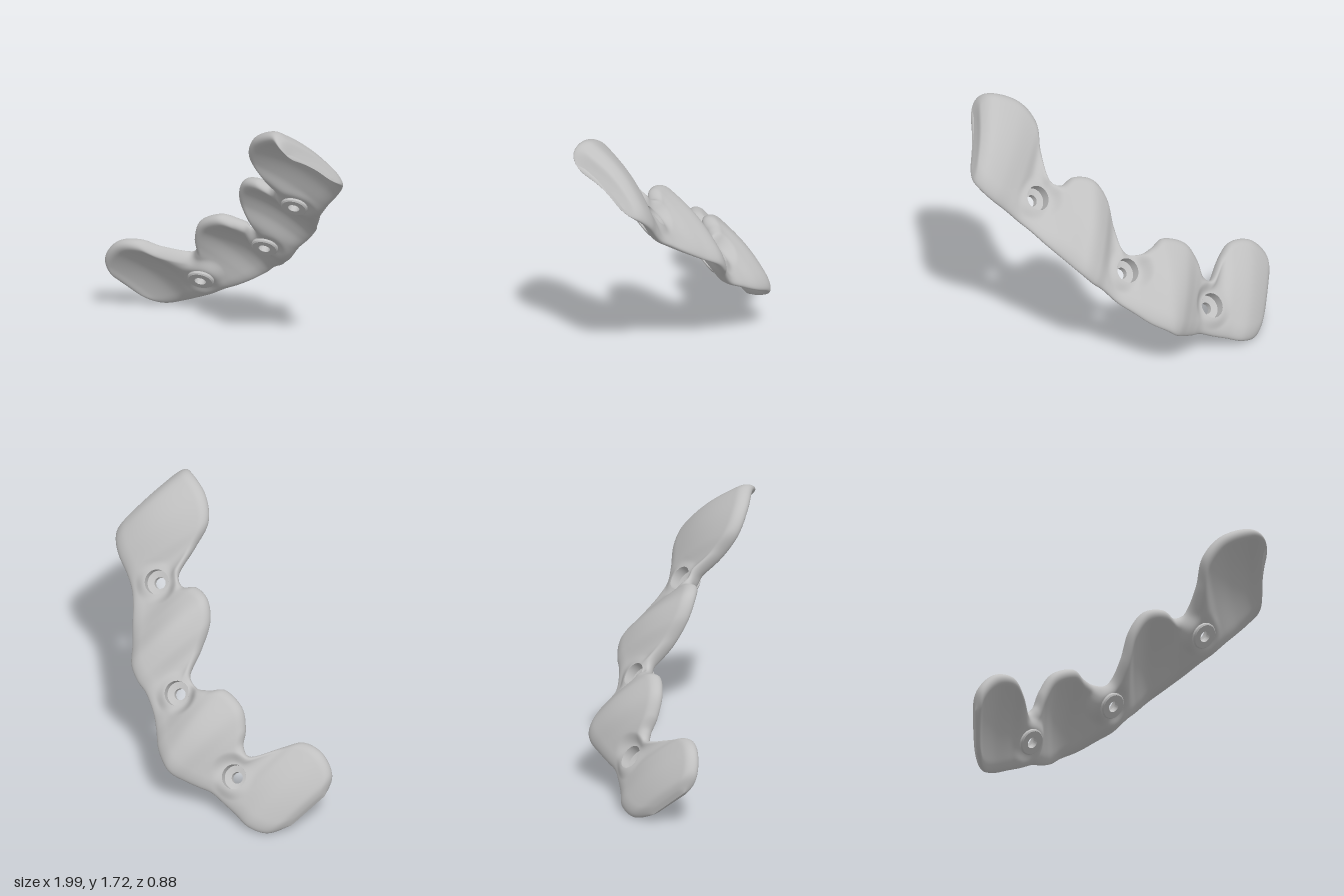
import * as THREE from 'three';
import { toCreasedNormals } from 'three/addons/utils/BufferGeometryUtils.js';

const V = (x, y, z) => new THREE.Vector3(x, y, z);
const spline = pts => new THREE.CatmullRomCurve3(pts.map(p => V(...p)), false, 'catmullrom', 0.5);

// Scalloped upper edge and wavy lower edge, matched station by station
const upperEdge = spline([
  [-0.99, 0.25, 0.33], [-0.97, 0.38, 0.395], [-0.87, 0.495, 0.385], [-0.74, 0.525, 0.325], [-0.66, 0.48, 0.22],
  [-0.58, 0.43, 0.02], [-0.51, 0.48, 0.00], [-0.475, 0.58, 0.04], [-0.40, 0.70, 0.06], [-0.26, 0.765, 0.025],
  [-0.18, 0.745, -0.05], [-0.09, 0.73, -0.10], [0.02, 0.76, -0.08], [0.075, 0.88, 0.04], [0.11, 1.04, 0.13],
  [0.19, 1.16, 0.165], [0.31, 1.195, 0.155], [0.40, 1.17, 0.10], [0.48, 1.22, 0.12], [0.52, 1.35, 0.27],
  [0.535, 1.50, 0.38], [0.64, 1.635, 0.425], [0.81, 1.71, 0.425], [0.91, 1.675, 0.425], [0.945, 1.57, 0.34]]);
const lowerEdge = spline([
  [-0.93, 0.06, 0.11], [-0.865, 0.01, -0.03], [-0.77, 0.035, -0.12], [-0.66, 0.08, -0.15], [-0.57, 0.12, -0.18],
  [-0.48, 0.17, -0.22], [-0.42, 0.20, -0.28], [-0.36, 0.24, -0.35], [-0.30, 0.29, -0.42], [-0.24, 0.34, -0.44],
  [-0.13, 0.39, -0.415], [-0.02, 0.45, -0.36], [0.08, 0.51, -0.32], [0.17, 0.61, -0.32], [0.24, 0.68, -0.345],
  [0.32, 0.76, -0.34], [0.42, 0.83, -0.27], [0.53, 0.91, -0.20], [0.62, 0.98, -0.14], [0.70, 1.04, -0.10],
  [0.78, 1.12, -0.09], [0.87, 1.21, -0.095], [0.94, 1.28, -0.075], [0.985, 1.33, -0.03], [0.99, 1.38, 0.05]]);
// How far the middle of each section bows outward
const bow = spline([0, 0.02, 0.035, 0.04, 0.02, -0.01, 0, 0.015, 0.035, 0.04, 0.015, -0.015, -0.02, 0, 0.03,
  0.04, 0.02, -0.015, -0.03, -0.01, 0.025, 0.045, 0.05, 0.04, 0.02].map(b => [b, 0, 0]));

const AXIS = V(-0.46, 0.63, -0.63).normalize(); // outward direction of the plate and screw holes
const HOLES = [V(-0.55, 0.285, -0.08), V(0.015, 0.645, -0.168), V(0.58, 1.12, 0.03)];
const HOLE_R = 0.082, HALF = 0.045;
const STATIONS = 24, ROWS = 216, SIDE = 44;

// Fits the plate to each screw hole: flattens around it and snaps points out to its rim
function fitToHole(p, side) {
  for (const c of HOLES) {
    const rel = p.clone().sub(c);
    const h = rel.dot(AXIS);
    const flat = rel.addScaledVector(AXIS, -h);
    const d = flat.length();
    if (d > HOLE_R * 1.9 || Math.abs(h) > 0.2) continue;
    const w = 1 - THREE.MathUtils.smoothstep(d, HOLE_R, HOLE_R * 1.9);
    const inside = d < HOLE_R;
    if (inside) flat.setLength(HOLE_R);
    p.copy(c).add(flat).addScaledVector(AXIS, THREE.MathUtils.lerp(h, side * HALF, w));
    return inside;
  }
  return false;
}

function plateGeometry() {
  const pos = [], index = [], cut = [], loop = SIDE * 2;
  for (let i = 0; i <= ROWS; i++) {
    const t = i / ROWS;
    const B = lowerEdge.getPoint(t), a = upperEdge.getPoint(t).sub(B);
    const len = a.length(), dir = a.clone().normalize();
    const n = AXIS.clone().addScaledVector(dir, -AXIS.dot(dir)).normalize();
    const b = bow.getPoint(t).x;
    // rounded thinning at the two ends
    const e = 1 - Math.min(1, Math.min(t, 1 - t) * STATIONS / 0.8);
    const endFade = Math.sqrt(Math.max(0, 1 - e * e));
    for (let j = 0; j < loop; j++) {
      const th = j / loop * Math.PI * 2;
      const v = 0.5 - 0.5 * Math.cos(th);
      // soft rounded rim above, thinner edge below
      const k = 1 - Math.min(1, v * len / 0.10, (1 - v) * len / 0.06);
      const round = Math.sqrt(Math.max(0, 1 - k * k));
      const side = (j === 0 || j === SIDE ? 0 : Math.sign(Math.sin(th))) * round * endFade;
      const half = HALF * (0.85 + 0.25 * v);
      const p = B.clone().addScaledVector(a, v).addScaledVector(n, b * Math.sin(Math.PI * v) + side * half);
      cut.push(fitToHole(p, side));
      pos.push(p.x, p.y, p.z);
    }
  }
  const tri = (a, b, c) => { if (!(cut[a] && cut[b] && cut[c])) index.push(a, b, c); };
  for (let i = 0; i < ROWS; i++) for (let j = 0; j < loop; j++) {
    const j2 = (j + 1) % loop;
    const a = i * loop + j, b = i * loop + j2, c = a + loop, d = b + loop;
    tri(a, c, b);
    tri(b, c, d);
  }
  const g = new THREE.BufferGeometry();
  g.setAttribute('position', new THREE.Float32BufferAttribute(pos, 3));
  g.setIndex(index);
  g.computeVertexNormals();
  return g;
}

// Countersunk sleeve: recess wall, ledge, narrow bore and low boss beneath
function sleeveGeometry() {
  const profile = [[HOLE_R, HALF], [HOLE_R, -0.02], [0.038, -0.03], [0.038, -0.068],
    [0.08, -0.068], [0.088, -0.06], [0.088, -0.03]].map(p => new THREE.Vector2(...p)).reverse();
  return toCreasedNormals(new THREE.LatheGeometry(profile, 40), 0.6);
}

export function createModel() {
  const model = new THREE.Group();
  model.name = 'scallopedPlate';
  const grey = new THREE.MeshStandardMaterial({ color: 0xc0c0c0, side: THREE.DoubleSide });
  grey.name = 'light grey';

  const body = new THREE.Group();
  body.name = 'plateAssembly';
  const plate = new THREE.Mesh(plateGeometry(), grey);
  plate.name = 'plate';
  body.add(plate);

  const sleeve = sleeveGeometry();
  HOLES.forEach((c, i) => {
    const m = new THREE.Mesh(sleeve, grey);
    m.name = 'screwHole' + (i + 1);
    m.position.copy(c);
    m.quaternion.setFromUnitVectors(V(0, 1, 0), AXIS);
    body.add(m);
  });

  // Stands on the ground, centred
  const box = new THREE.Box3().setFromObject(body, true), mid = box.getCenter(V(0, 0, 0));
  body.position.set(-mid.x, -box.min.y, -mid.z);
  model.add(body);
  return model;
}
